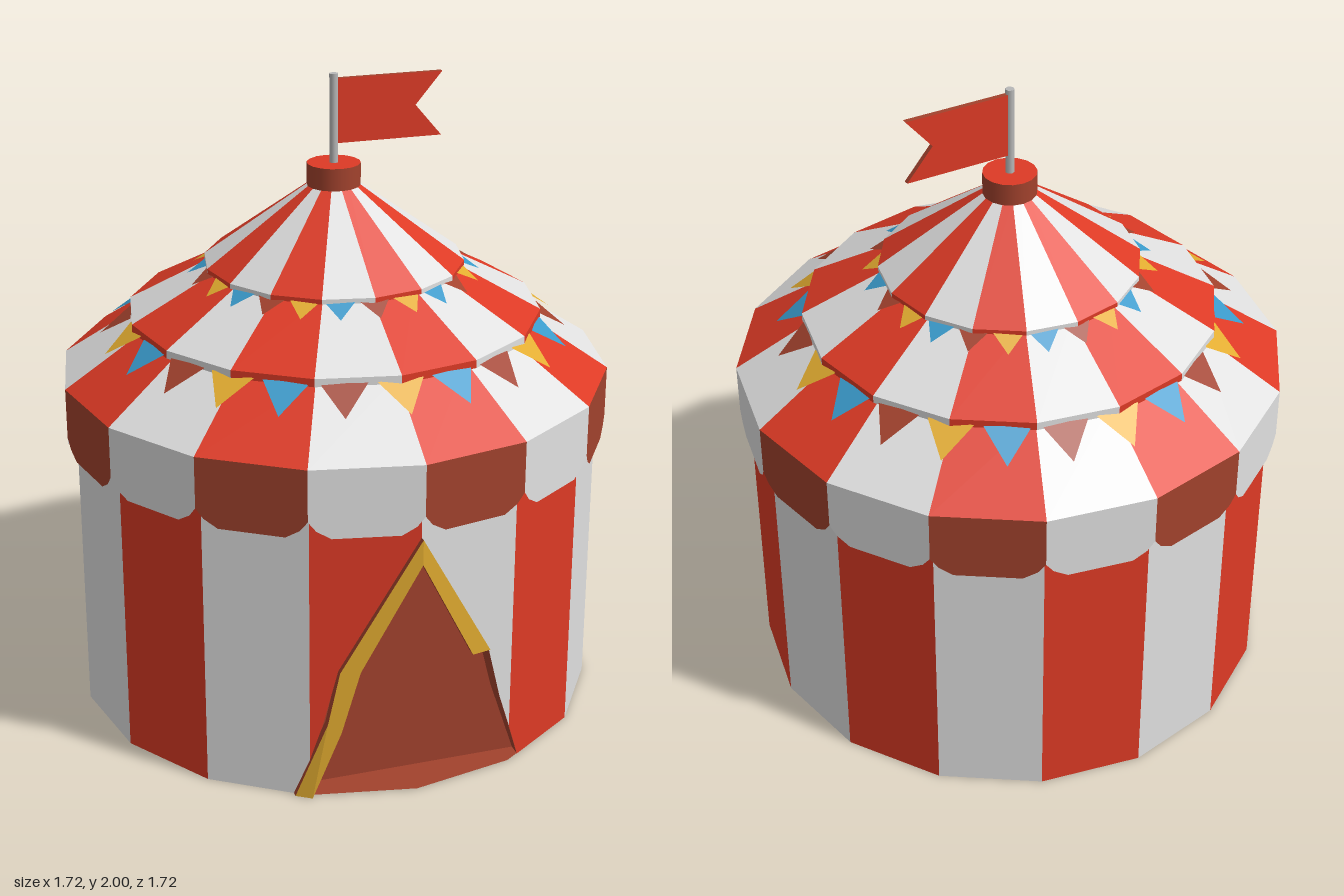
import * as THREE from 'three';
import { mergeGeometries } from 'three/addons/utils/BufferGeometryUtils.js';

const SIDES = 16, STEP = (Math.PI * 2) / SIDES, WALL_R = 0.83, WALL_TOP = 1.0;

function material(name, color) {
  const m = new THREE.MeshStandardMaterial({ color, side: THREE.DoubleSide });
  m.name = name;
  return m;
}

// Point at an angle measured from the front towards the left (+x)
const polar = (r, a, y) => [r * Math.sin(a), y, r * Math.cos(a)];

// Flat convex polygon from counter-clockwise corners
function facet(corners) {
  const pos = [];
  for (let i = 1; i < corners.length - 1; i++) pos.push(...corners[0], ...corners[i], ...corners[i + 1]);
  const g = new THREE.BufferGeometry();
  g.setAttribute('position', new THREE.Float32BufferAttribute(pos, 3));
  g.computeVertexNormals();
  return g;
}

// Depth of the two front wall facets and their neighbours at a given x
function wallZ(x) {
  const ax = Math.abs(x), x1 = WALL_R * Math.sin(STEP), z1 = WALL_R * Math.cos(STEP);
  return ax < x1 ? WALL_R - ax * Math.tan(STEP / 2) : z1 - (ax - x1) * Math.tan(STEP * 1.5);
}

function shapeOf(points, side) {
  return new THREE.Shape(points.map(([x, y]) => new THREE.Vector2(x * side, y)));
}

// Lay a flat geometry onto the front of the wall
function wrap(geometry, offset = 0) {
  const g = geometry.index ? geometry.toNonIndexed() : geometry;
  const p = g.attributes.position;
  for (let i = 0; i < p.count; i++) p.setZ(i, p.getZ(i) + wallZ(p.getX(i)) + offset);
  g.computeVertexNormals();
  return g;
}

export function createModel() {
  const model = new THREE.Group();
  model.name = 'circusTent';
  const red = material('red', 0xdd3a25);
  const white = material('white', 0xe0e0e0);
  const brown = material('darkRed', 0xa2422d);
  const yellow = material('yellow', 0xe2ac30);
  const blue = material('blue', 0x3a9aca);
  const grey = material('poleGrey', 0xb8b8b8);

  function add(name, geometry, mat) {
    const mesh = new THREE.Mesh(geometry, mat);
    mesh.name = name;
    model.add(mesh);
    return mesh;
  }

  // Alternating stripes: make(a0, a1) gives one facet
  function striped(name, make, evenMat, oddMat, skip = []) {
    [evenMat, oddMat].forEach((mat, parity) => {
      const parts = [];
      for (let i = parity; i < SIDES; i += 2) {
        if (!skip.includes(i)) parts.push(...make(i * STEP, (i + 1) * STEP));
      }
      add(name, mergeGeometries(parts), mat);
    });
  }

  // Band between two rings
  const band = (r0, y0, r1, y1) => (a0, a1) => [
    facet([polar(r0, a0, y0), polar(r0, a1, y0), polar(r1, a1, y1), polar(r1, a0, y1)])];

  // Wall, with the facets around the doorway left out
  striped('wall', band(WALL_R, 0, WALL_R, WALL_TOP), white, red, [0, 1, 14, 15]);

  // Wall facets cut by the doorway
  const x1 = WALL_R * Math.sin(STEP), x2 = WALL_R * Math.sin(STEP * 2);
  const inner = [[0, WALL_TOP], [0, 0.8], [0.235, 0.42], [0.28, 0.24], [x1, 0.125], [x1, WALL_TOP]];
  const outer = [[0.36, 0], [x2, 0], [x2, WALL_TOP], [x1, WALL_TOP], [x1, 0.125]];
  for (const side of [1, -1]) {
    add('doorWall', wrap(new THREE.ShapeGeometry(shapeOf(inner, side))), side > 0 ? white : red);
    add('doorWall', wrap(new THREE.ShapeGeometry(shapeOf(outer, side))), side > 0 ? red : white);
  }

  // Dark doorway: back panel and jambs
  const panelZ = 0.7;
  const panel = add('doorPanel', new THREE.PlaneGeometry(0.76, 0.88), brown);
  panel.position.set(0, 0.44, panelZ);
  const edge = [[0, 0.8], [0.235, 0.42], [0.28, 0.24], [0.36, 0]];
  const jambs = [];
  for (const side of [1, -1]) {
    for (let i = 0; i < 3; i++) {
      const [xa, ya] = edge[i], [xb, yb] = edge[i + 1];
      const quad = [[xa * side, ya, wallZ(xa)], [xb * side, yb, wallZ(xb)],
        [xb * side, yb, panelZ], [xa * side, ya, panelZ]];
      jambs.push(facet(side > 0 ? quad : quad.reverse()));
    }
  }
  add('doorJambs', mergeGeometries(jambs), brown);

  // Yellow doorway trim; the left half of the opening ends at mid height
  const halfTrim = [[0, 0.84], [0.235, 0.42], [0.175, 0.42], [0, 0.76]];
  const fullTrim = [[0, 0.84], [0.235, 0.42], [0.27, 0.25], [0.36, 0],
    [0.315, 0], [0.23, 0.22], [0.175, 0.42], [0, 0.76]];
  for (const [points, side] of [[halfTrim, 1], [fullTrim, -1]]) {
    const g = new THREE.ExtrudeGeometry(shapeOf(points, side), { depth: 0.025, bevelEnabled: false });
    add('doorTrim', wrap(g, -0.008), [yellow, brown]);
  }

  // Floor
  const floor = add('floor', new THREE.CircleGeometry(WALL_R, SIDES), brown);
  floor.rotation.x = Math.PI / 2;
  floor.position.y = 0.002;

  // Roof tiers, each with a thin hanging rim
  const tiers = [
    ['lowerRoof', 0.86, 1.08, 0.6, 1.25, 0],
    ['middleRoof', 0.645, 1.268, 0.37, 1.415, 0.025],
    ['upperRoof', 0.405, 1.422, 0.07, 1.665, 0.015],
  ];
  for (const [name, r0, y0, r1, y1, rim] of tiers) {
    striped(name, band(r0, y0, r1, y1), red, white);
    if (rim) striped(name + 'Rim', band(r0, y0 - rim, r0, y0), red, white);
    if (rim) striped(name + 'Underside', band(r0 - 0.08, y0 - rim, r0, y0 - rim), red, white);
  }

  // Scalloped valance
  const scallop = [[0, 0.92], [0.07, 0.89], [0.2, 0.864], [0.8, 0.864], [0.93, 0.89], [1, 0.92]];
  striped('valance', (a0, a1) => {
    const p0 = polar(0.86, a0, 0), p1 = polar(0.86, a1, 0);
    const at = (t, y) => [p0[0] + (p1[0] - p0[0]) * t, y, p0[2] + (p1[2] - p0[2]) * t];
    return [facet([at(0, 1.08), ...scallop.map(([t, y]) => at(t, y)), at(1, 1.08)])];
  }, brown, white);

  // Bunting: 24 pennants around each upper tier
  function bunting(name, r0, y0, r1, y1, halfWidth, shift) {
    [brown, yellow, blue].forEach((mat, c) => {
      const parts = [];
      for (let i = 0; i < 24; i++) {
        if ((i + shift) % 3 !== c) continue;
        const a = (i * Math.PI) / 12, d = halfWidth / r0;
        parts.push(facet([polar(r0, a - d, y0), polar(r1, a, y1), polar(r0, a + d, y0)]));
      }
      add(name, mergeGeometries(parts), mat);
    });
  }
  bunting('lowerBunting', 0.637, 1.252, 0.732, 1.182, 0.07, 1);
  bunting('upperBunting', 0.395, 1.413, 0.455, 1.376, 0.047, 0);

  // Cap, pole and swallow-tailed flag
  const cap = add('cap', new THREE.CylinderGeometry(0.083, 0.083, 0.07, SIDES), [brown, red, brown]);
  cap.position.y = 1.69;
  const pole = add('pole', new THREE.CylinderGeometry(0.014, 0.014, 0.28, 8), grey);
  pole.position.y = 1.86;
  const flagShape = shapeOf([[0.01, 1.785], [0.345, 1.785], [0.26, 1.885], [0.345, 1.985], [0.01, 1.985]], 1);
  const flag = add('flag', new THREE.ExtrudeGeometry(flagShape, { depth: 0.016, bevelEnabled: false }), [red, brown]);
  flag.position.z = -0.008;

  return model;
}
